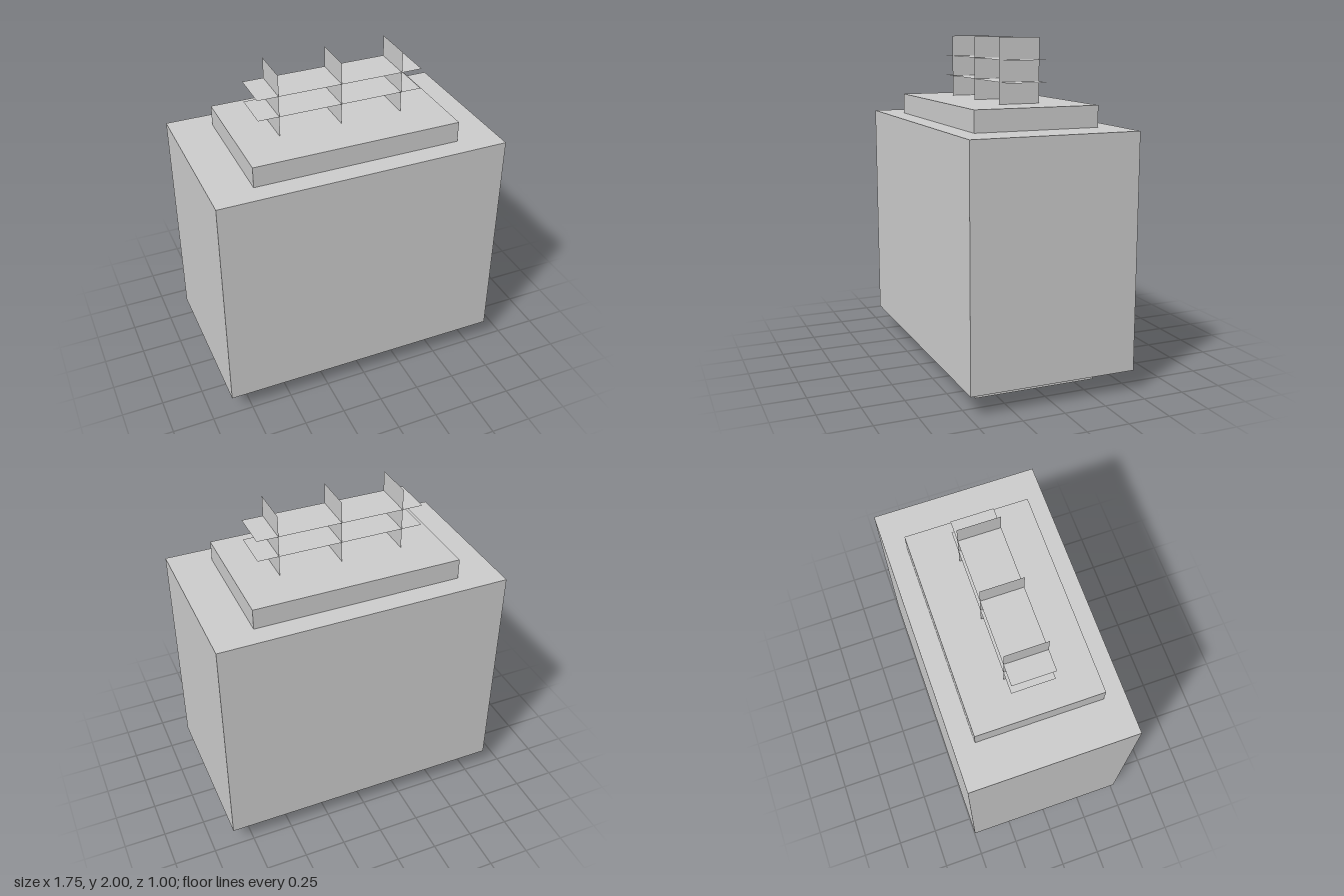
import * as THREE from 'three';

export function createModel() {
  const model = new THREE.Group();
  const solid = new THREE.MeshStandardMaterial({ color: 0xcccccc, flatShading: true });
  const sheet = new THREE.MeshStandardMaterial({ color: 0xcccccc, flatShading: true, side: THREE.DoubleSide });

  // Box standing on height y
  function block(name, width, height, depth, y) {
    const mesh = new THREE.Mesh(new THREE.BoxGeometry(width, height, depth), solid);
    mesh.name = name;
    mesh.position.y = y + height / 2;
    model.add(mesh);
  }

  // Stepped casing
  block('base', 1.25, 0.125, 0.75, 0);
  block('body', 1.75, 1.375, 1, 0.125);
  block('topPlate', 1.25, 0.125, 0.75, 1.5);

  // Lattice of paper-thin sheets standing on the top plate
  const lattice = new THREE.Group();
  lattice.name = 'lattice';
  model.add(lattice);

  for (const x of [-0.375, 0, 0.375]) {
    const fin = new THREE.Mesh(new THREE.PlaneGeometry(0.25, 0.375), sheet);
    fin.name = 'uprightFin';
    fin.rotation.y = Math.PI / 2;
    fin.position.set(x, 1.8125, 0);
    lattice.add(fin);
  }
  for (const y of [1.75, 1.875]) {
    const shelf = new THREE.Mesh(new THREE.PlaneGeometry(1, 0.25), sheet);
    shelf.name = 'levelFin';
    shelf.rotation.x = -Math.PI / 2;
    shelf.position.y = y;
    lattice.add(shelf);
  }
  return model;
}
